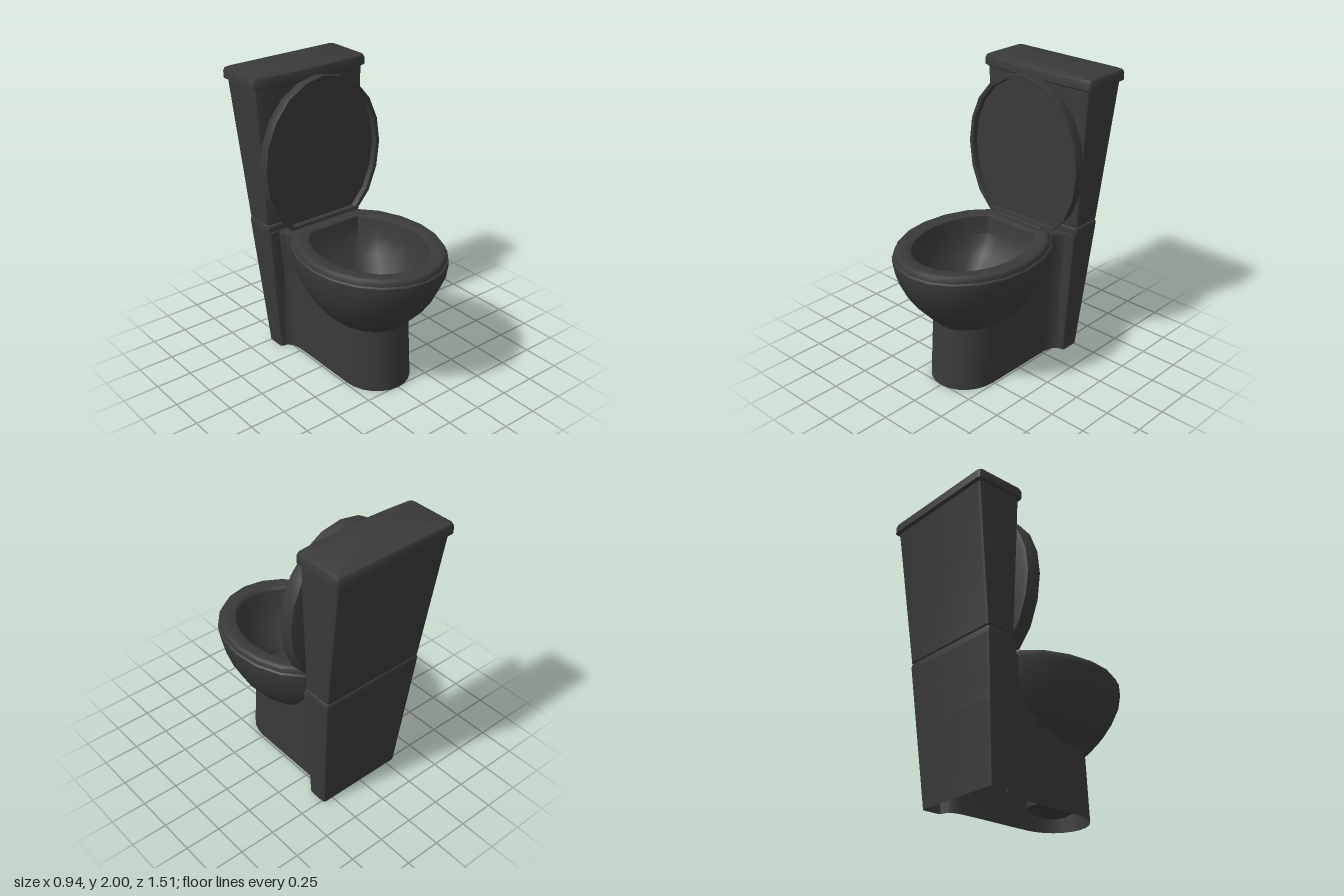
import * as THREE from 'three';
import { toCreasedNormals } from 'three/addons/utils/BufferGeometryUtils.js';

// Double sided because the body is a thin shell, open underneath
const material = new THREE.MeshStandardMaterial({ color: 0x3a3a3a, side: THREE.DoubleSide });

// Skin a stack of equal-length rings, with optional fan caps at both ends
function loft(name, rings, capStart = true, capEnd = true, crease = 0.65) {
  const n = rings[0].length;
  const points = rings.flat();
  const index = [];
  for (let i = 0; i < rings.length - 1; i++) {
    for (let j = 0; j < n; j++) {
      const k = (j + 1) % n;
      const a = i * n + j, b = i * n + k, c = b + n, d = a + n;
      index.push(a, b, c, a, c, d);
    }
  }
  const cap = (start, flip) => {
    const ring = points.slice(start, start + n);
    const centre = ring.reduce((s, p) => s.add(p), new THREE.Vector3()).divideScalar(n);
    const m = points.push(centre) - 1;
    for (let j = 0; j < n; j++) {
      const a = start + j, b = start + (j + 1) % n;
      index.push(m, flip ? b : a, flip ? a : b);
    }
  };
  if (capStart) cap(0, true);
  if (capEnd) cap((rings.length - 1) * n, false);
  const geometry = new THREE.BufferGeometry().setFromPoints(points);
  geometry.setIndex(index);
  const mesh = new THREE.Mesh(toCreasedNormals(geometry, crease), material);
  mesh.name = name;
  return mesh;
}

// Egg outline with a flattened back; [height, half width, front z, back z, widest z, flatness]
function egg([y, w, zf, zb, zc = 0.2, flat = 1.27]) {
  return Array.from({ length: 20 }, (_, i) => {
    const t = (i / 20) * Math.PI * 2, c = Math.cos(t);
    const z = c > 0 ? zc + (zf - zc) * c : Math.max(zb, zc + (zc - zb) * flat * c);
    return new THREE.Vector3(w * Math.sin(t), y, z);
  });
}

// Mirror the +x half of an outline onto -x to finish a ring
function closeRing(ring, y, side) {
  side.forEach(([x, z]) => ring.push(new THREE.Vector3(x, y, z)));
  side.reverse().forEach(([x, z]) => ring.push(new THREE.Vector3(-x, y, z)));
  return ring;
}

// Body outline: round foot in front, flaring into the wide column at the back
function body([y, w, zf, depth]) {
  const ring = [];
  for (let i = 0; i <= 12; i++) {
    const t = (i / 12 - 0.5) * Math.PI;
    ring.push(new THREE.Vector3(w * Math.sin(t), y, zf - depth + depth * Math.cos(t)));
  }
  const W = 0.325 + 0.068 * y, zb = -0.52 - 0.1 * y;
  return closeRing(ring, y, [[w, -0.28], [w + 0.015, -0.34], [w + 0.045, -0.37], [W - 0.02, -0.375],
    [W - 0.006, -0.38], [W, -0.395], [W, zb + 0.02], [W - 0.006, zb + 0.006], [W - 0.02, zb]]);
}

// Rectangle with rounded corners and a gently bowed front
function block([y, w, zf, zb, r = 0.02, bow = 0.02]) {
  const ring = [];
  for (let i = 0; i <= 8; i++) {
    const u = i / 4 - 1;
    ring.push(new THREE.Vector3((w - r) * u, y, zf - bow * u * u));
  }
  return closeRing(ring, y, [[w - r * 0.3, zf - bow - r * 0.3], [w, zf - bow - r], [w, zb + r],
    [w - r * 0.3, zb + r * 0.3], [w - r, zb]]);
}

export function createModel() {
  const model = new THREE.Group();
  model.name = 'toilet';

  // Bowl outside, over the seat ring and down the basin to the drain well
  model.add(loft('bowlAndSeat', [
    [0.42, 0.22, 0.455, 0.04],
    [0.45, 0.245, 0.485, 0],
    [0.51, 0.31, 0.545, -0.12],
    [0.58, 0.362, 0.61, -0.18],
    [0.68, 0.413, 0.68, -0.23],
    [0.8, 0.455, 0.74, -0.258],
    [0.88, 0.468, 0.753, -0.268],
    [0.912, 0.47, 0.755, -0.27],
    [0.92, 0.458, 0.742, -0.258],
    [0.942, 0.456, 0.74, -0.256],
    [0.956, 0.446, 0.728, -0.248],
    [0.96, 0.425, 0.705, -0.235],
    [0.958, 0.37, 0.65, -0.19],
    [0.95, 0.35, 0.63, -0.175],
    [0.93, 0.345, 0.62, -0.17],
    [0.82, 0.345, 0.62, -0.17],
    [0.7, 0.3, 0.575, -0.09, 0.22],
    [0.58, 0.24, 0.515, 0, 0.24, 1.1],
    [0.46, 0.175, 0.455, 0.06, 0.25, 1],
    [0.34, 0.142, 0.422, 0.085, 0.25, 1],
    [0.08, 0.138, 0.418, 0.088, 0.25, 1],
    [0.05, 0.09, 0.36, 0.15, 0.25, 1],
  ].map(egg), false, true, 0.8));

  // Pedestal shell, open underneath
  model.add(loft('pedestal', [
    [0, 0.235, 0.51, 0.25],
    [0.44, 0.238, 0.475, 0.24],
    [0.51, 0.238, 0.47, 0.24],
  ].map(body), false, false));

  // Upper body behind the bowl, closed by the hinge deck
  model.add(loft('upperBody', [
    [0.51, 0.238, -0.01, 0.06],
    [0.7, 0.25, -0.12, 0.06],
    [0.9, 0.27, -0.2, 0.06],
    [0.918, 0.262, -0.205, 0.06],
  ].map(body), false, true));

  // Raised ledge that carries the tank
  model.add(loft('tankLedge', [
    [0.9, 0.386, -0.375, -0.61],
    [0.945, 0.389, -0.368, -0.614],
    [0.96, 0.386, -0.372, -0.611],
    [0.966, 0.375, -0.382, -0.6],
  ].map(block)));

  // Water tank
  model.add(loft('tank', [
    [0.962, 0.375, -0.39, -0.6],
    [0.972, 0.385, -0.382, -0.613],
    [1.93, 0.43, -0.39, -0.738],
  ].map(block)));

  // Tank lid
  model.add(loft('tankLid', [
    [1.915, 0.435, -0.385, -0.742, 0.025],
    [1.925, 0.452, -0.373, -0.757, 0.025],
    [1.97, 0.452, -0.373, -0.757, 0.025],
    [1.99, 0.445, -0.38, -0.75, 0.025],
    [2, 0.425, -0.4, -0.73, 0.025],
  ].map(block)));

  // Raised cover, shaped lying down and then stood upright
  const cover = loft('raisedCover', [
    [0.04, 0.438, 0.722, -0.238],
    [0.003, 0.443, 0.727, -0.24],
    [0, 0.467, 0.755, -0.262],
    [0.01, 0.471, 0.756, -0.262],
    [0.07, 0.462, 0.748, -0.252],
    [0.09, 0.455, 0.74, -0.245],
    [0.098, 0.425, 0.71, -0.22],
  ].map(egg));
  cover.rotation.x = -Math.PI / 2;
  cover.position.set(0, 1.21, -0.265);
  model.add(cover);

  // Hinge bar and its two mounts
  const bar = new THREE.Mesh(new THREE.CylinderGeometry(0.02, 0.02, 0.36, 10), material);
  bar.name = 'hingeBar';
  bar.rotation.z = Math.PI / 2;
  bar.position.set(0, 0.938, -0.28);
  model.add(bar);
  for (const side of [-1, 1]) {
    const mount = new THREE.Mesh(new THREE.BoxGeometry(0.05, 0.03, 0.04), material);
    mount.name = 'hingeMount';
    mount.position.set(side * 0.14, 0.922, -0.28);
    model.add(mount);
  }
  return model;
}
